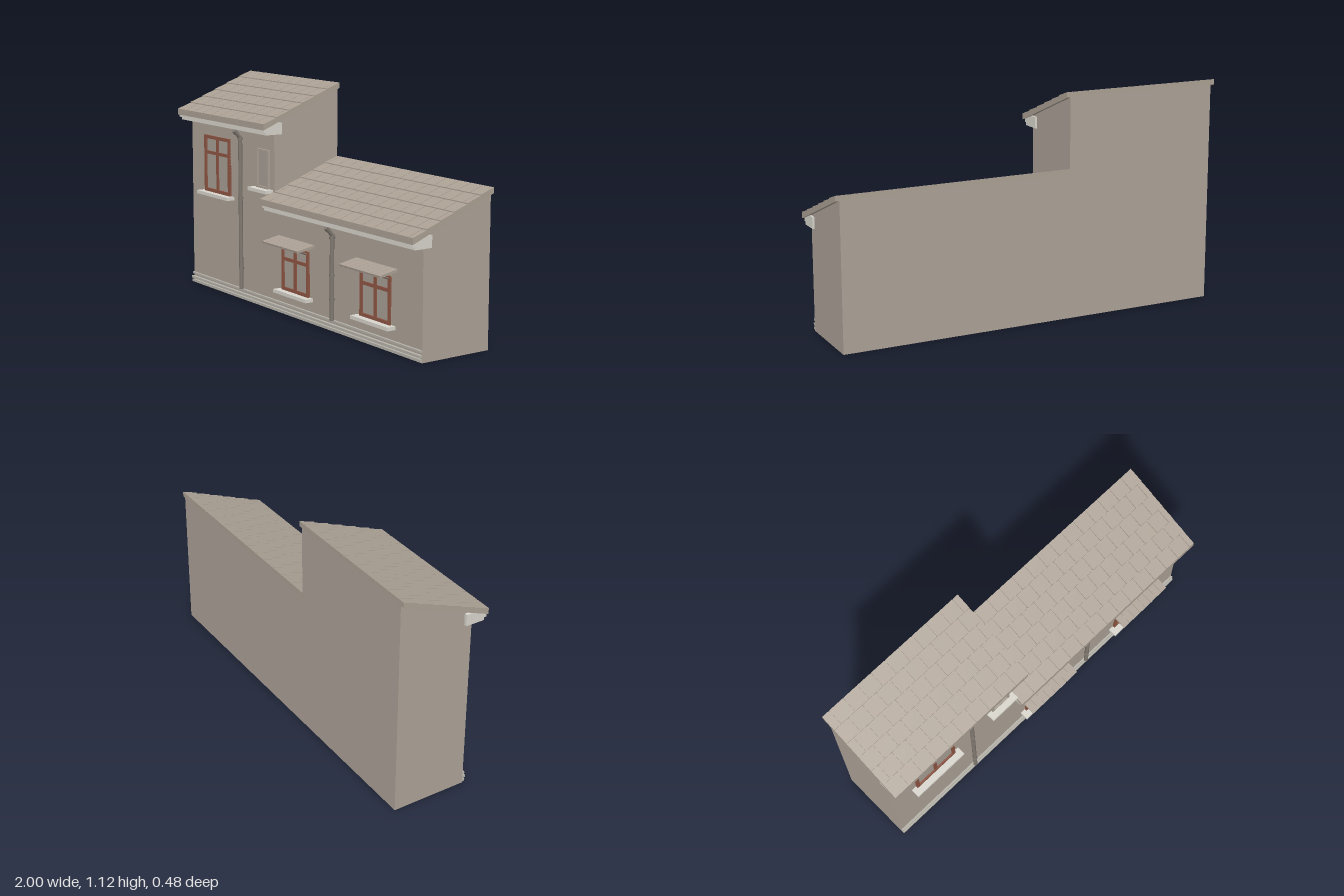
import * as THREE from 'three';

const mat = (name, color) => {
  const m = new THREE.MeshStandardMaterial({ color });
  m.name = name;
  return m;
};

export function createModel() {
  const root = new THREE.Group();
  root.name = 'terraceHouse';
  const wall = mat('render wall', 0xaba196);
  const tile = mat('roof tile', 0xaa9f93);
  const trim = mat('pale stone', 0xd6d4cb);
  const plinthMat = mat('plinth stone', 0xb4b1a8);
  const wood = mat('window wood', 0x8c5442);
  const glass = mat('window pane', 0xa69e94);
  const metal = mat('pipe metal', 0x7f7870);

  const FRONT = 0.14, BACK = -0.24, EAVE = 0.215, SLOPE = 0.4;

  const group = (name, parent = root) => {
    const g = new THREE.Group();
    g.name = name;
    parent.add(g);
    return g;
  };
  const add = (parent, name, geo, m) => {
    const mesh = new THREE.Mesh(geo, m);
    mesh.name = name;
    parent.add(mesh);
    return mesh;
  };
  // Box given by its limits
  const box = (parent, name, m, x0, x1, y0, y1, z0, z1) => {
    const b = add(parent, name, new THREE.BoxGeometry(x1 - x0, y1 - y0, z1 - z0), m);
    b.position.set((x0 + x1) / 2, (y0 + y1) / 2, (z0 + z1) / 2);
  };
  // Side profile of [z, y] points, extruded along x
  const prism = (parent, name, m, pts, x0, x1) => {
    const shape = new THREE.Shape(pts.map(([z, y]) => new THREE.Vector2(z, y)));
    const geo = new THREE.ExtrudeGeometry(shape, { depth: x1 - x0, bevelEnabled: false });
    geo.rotateY(-Math.PI / 2).translate(x1, 0, 0);
    add(parent, name, geo, m);
  };
  // Round bar between two points
  const bar = (parent, name, m, a, b, r, sides = 10) => {
    const va = new THREE.Vector3(...a), vb = new THREE.Vector3(...b);
    const d = vb.clone().sub(va);
    const c = add(parent, name, new THREE.CylinderGeometry(r, r, d.length(), sides), m);
    c.position.copy(va).add(vb).multiplyScalar(0.5);
    c.quaternion.setFromUnitVectors(new THREE.Vector3(0, 1, 0), d.normalize());
  };

  // One wing: walls, roof slab, staggered tiles and stepped cornice
  function wing(name, wx0, wx1, rx0, rx1, cx0, cx1, eaveY) {
    const g = group(name);
    const under = z => eaveY + (EAVE - z) * SLOPE;
    prism(g, 'walls', wall,
      [[BACK, 0], [FRONT, 0], [FRONT, under(FRONT) + 0.003], [BACK, under(BACK) + 0.003]], wx0, wx1);
    prism(g, 'roofSlab', tile, [[BACK, under(BACK)], [EAVE, under(EAVE)],
      [EAVE, under(EAVE) + 0.021], [BACK, under(BACK) + 0.021]], rx0, rx1);

    const rows = 6, pitch = 0.084, gap = 0.004, step = (EAVE - BACK) / rows;
    for (let r = 0; r < rows; r++) {
      const zf = EAVE - r * step, zb = zf - step;
      const pts = [[zb, under(zb) + 0.02], [zf, under(zf) + 0.02],
        [zf, under(zf) + 0.031], [zb, under(zb) + 0.0265]];
      for (let x = rx0 - (r % 2) * pitch / 2; x < rx1 - 0.01; x += pitch) {
        const a = Math.max(x, rx0), b = Math.min(x + pitch - gap, rx1);
        if (b - a > 0.005) prism(g, 'roofTile', tile, pts, a, b);
      }
    }
    const y = eaveY - 0.027;
    prism(g, 'cornice', trim, [[0.1, y], [0.195, y], [0.195, y + 0.013], [0.208, y + 0.015],
      [0.208, under(0.208)], [FRONT, under(FRONT)], [0.1, under(FRONT)]], cx0, cx1);
  }
  wing('tallWing', -0.98, -0.19, -1, -0.17, -0.995, -0.18, 0.912);
  wing('lowWing', -0.19, 0.98, -0.205, 1, -0.2, 0.99, 0.54);

  // Plinth mouldings along the front
  const plinth = group('plinth');
  [[0.005, 0.018, 0.152], [0.025, 0.037, 0.156], [0.049, 0.058, 0.151]].forEach(([a, b, z]) =>
    box(plinth, 'plinthBand', plinthMat, -0.98, 0.98, a, b, FRONT - 0.01, z));

  // Framed window with optional cross bars
  function windowUnit(name, x0, x1, y0, y1, t, m, transom) {
    const g = group(name);
    const z0 = FRONT - 0.005, z1 = 0.152;
    box(g, 'pane', glass, x0, x1, y0, y1, z0, 0.143);
    box(g, 'jamb', m, x0, x0 + t, y0, y1, z0, z1);
    box(g, 'jamb', m, x1 - t, x1, y0, y1, z0, z1);
    box(g, 'head', m, x0 + t, x1 - t, y1 - t, y1, z0, z1);
    box(g, 'bottomRail', m, x0 + t, x1 - t, y0, y0 + t, z0, z1);
    if (transom) {
      const xc = (x0 + x1) / 2;
      box(g, 'mullion', m, xc - 0.009, xc + 0.009, y0 + t, y1 - t, z0, 0.15);
      box(g, 'transom', m, x0 + t, x1 - t, transom - 0.008, transom + 0.008, z0, 0.149);
    }
    box(g, 'sill', trim, x0 - 0.027, x1 + 0.027, y0 - 0.017, y0, FRONT - 0.01, 0.184);
    return g;
  }
  windowUnit('upperWindow', -0.84, -0.592, 0.522, 0.818, 0.017, wood, 0.728);
  windowUnit('smallWindow', -0.34, -0.23, 0.607, 0.803, 0.01, wall, 0);

  // Ground floor windows under small tiled awnings on struts
  for (const xc of [0, 0.645]) {
    const g = windowUnit('lowerWindow', xc - 0.113, xc + 0.115, 0.126, 0.35, 0.016, wood, 0.283);
    const awning = group('awning', g);
    const n = 8, x0 = xc - 0.153, w = 0.31 / n;
    for (let i = 0; i < n; i++) {
      prism(awning, 'awningTile', tile,
        [[0.135, 0.38], [0.238, 0.362], [0.24, 0.371], [0.135, 0.391]],
        x0 + i * w, x0 + (i + 1) * w - 0.002);
    }
    prism(awning, 'awningBoard', tile,
      [[0.135, 0.377], [0.236, 0.36], [0.236, 0.367], [0.135, 0.386]], x0 + 0.001, x0 + 0.307);
    for (const s of [-1, 1]) {
      const x = xc + s * 0.105;
      bar(awning, 'strut', metal, [x, 0.34, 0.15], [x, 0.363, 0.226], 0.004, 6);
    }
  }

  // Downpipes with a bent top and wall collars
  function downpipe(x, top, collars) {
    const g = group('downpipe');
    const z = 0.155, bend = top - 0.04;
    bar(g, 'pipe', metal, [x, 0.058, z], [x, bend, z], 0.0105);
    bar(g, 'elbow', metal, [x, bend - 0.004, z - 0.002], [x, top - 0.004, 0.187], 0.0105);
    bar(g, 'inlet', metal, [x, top - 0.016, 0.178], [x, top - 0.002, 0.191], 0.0125);
    for (const y of collars) {
      bar(g, 'collar', metal, [x, y - 0.006, z], [x, y + 0.006, z], 0.013);
      box(g, 'bracket', metal, x - 0.005, x + 0.005, y - 0.004, y + 0.004, FRONT - 0.002, z);
    }
  }
  downpipe(-0.48, 0.88, [0.165, 0.53, 0.835]);
  downpipe(0.32, 0.51, [0.16, 0.275, 0.455]);

  return root;
}
